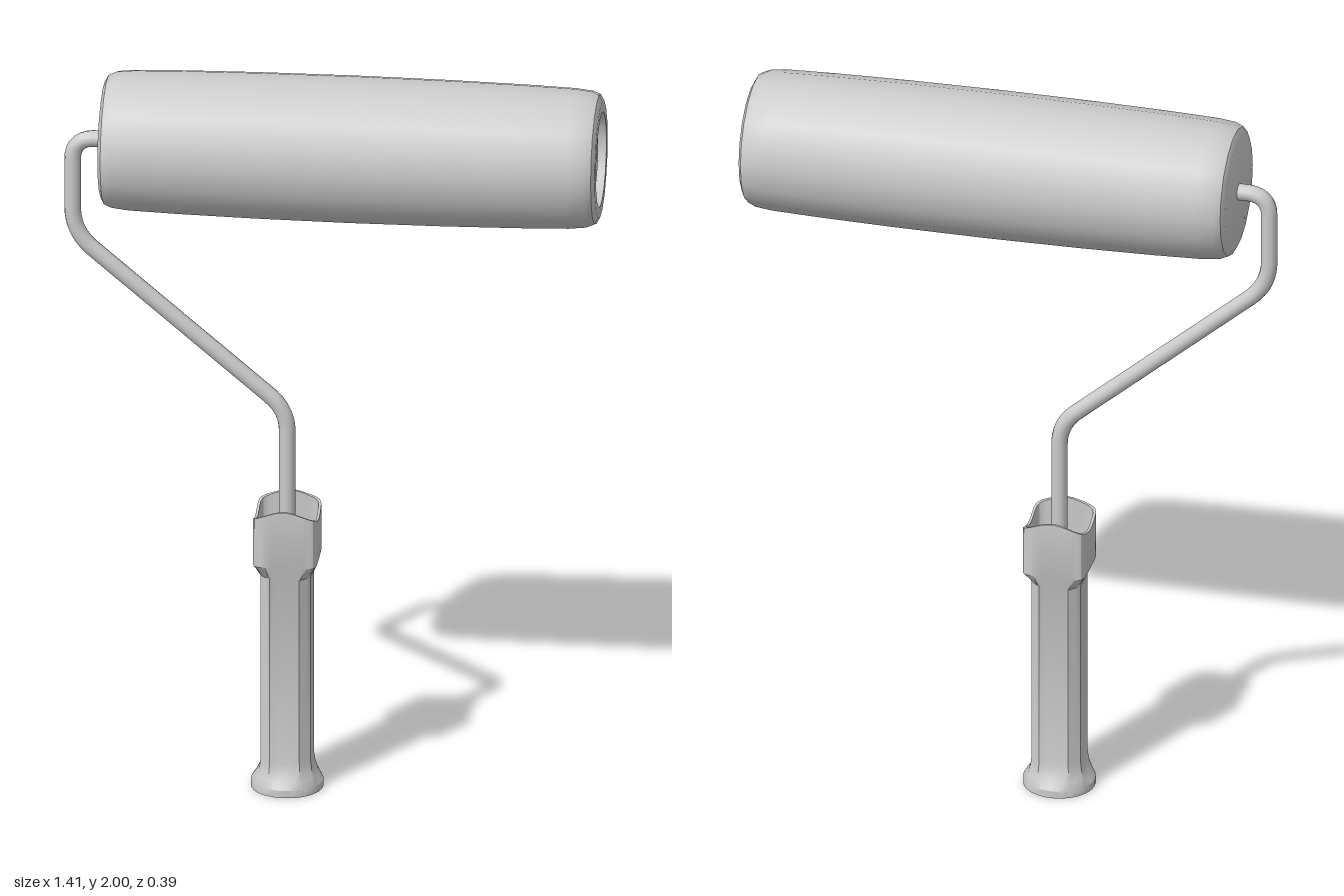
import * as THREE from 'three';
import { toCreasedNormals } from 'three/addons/utils/BufferGeometryUtils.js';

const material = new THREE.MeshStandardMaterial({ color: 0xcccccc });
const HANDLE_X = -0.122;
const ROLLER_Y = 1.805;

function part(name, geometry) {
  const mesh = new THREE.Mesh(geometry, material);
  mesh.name = name;
  return mesh;
}

// Cross-sections as radius by angle
const circle = (r) => () => r;
const roundedSquare = (h) => (a) =>
  h / Math.pow(Math.abs(Math.cos(a)) ** 8 + Math.abs(Math.sin(a)) ** 8, 1 / 8);
const chamferedSquare = (h, c) => (a) => {
  const x = Math.abs(Math.cos(a)), z = Math.abs(Math.sin(a));
  return Math.min(h / Math.max(x, z), (h + c) / (x + z));
};
const mix = (f, g, t) => (a) => f(a) * (1 - t) + g(a) * t;

// Skin a stack of sections; each height may vary with the angle
function loft(sections, angles) {
  const n = angles.length, positions = [], index = [];
  sections.forEach(([radius, height]) => angles.forEach((a) => {
    const r = radius(a);
    const y = typeof height === 'function' ? height(a) : height;
    positions.push(r * Math.cos(a), y, r * Math.sin(a));
  }));
  for (let i = 0; i < sections.length - 1; i++) {
    for (let j = 0; j < n; j++) {
      const a = i * n + j, b = i * n + (j + 1) % n;
      index.push(a, a + n, b, b, a + n, b + n);
    }
  }
  const geometry = new THREE.BufferGeometry();
  geometry.setAttribute('position', new THREE.Float32BufferAttribute(positions, 3));
  geometry.setIndex(index);
  return toCreasedNormals(geometry, 0.5);
}

// Handle: round flared foot, chamfered grip, hollow collar with a saddle-shaped rim
function makeHandle() {
  const chamfer = THREE.MathUtils.radToDeg(Math.atan2(0.039, 0.066));
  const angles = [];
  for (let q = 0; q < 4; q++) {
    for (const d of [0, 11, 21, chamfer, 36, 40.5, 45, 49.5, 54, 90 - chamfer, 69, 79]) {
      angles.push(THREE.MathUtils.degToRad(q * 90 + d));
    }
  }
  const grip = chamferedSquare(0.066, 0.039);
  const foot = circle(0.095);
  const rim = (a) => 0.78 - 0.022 * Math.cos(2 * a);
  const handle = part('handle', loft([
    [circle(0), 0.3], [circle(0.042), 0.3], [circle(0.042), 0],
    [foot, 0], [foot, 0.02],
    [mix(foot, grip, 0.45), 0.04], [mix(foot, grip, 0.8), 0.06], [grip, 0.085],
    [grip, 0.605], [roundedSquare(0.084), 0.645],
    [roundedSquare(0.084), rim], [roundedSquare(0.077), rim],
    [roundedSquare(0.077), 0.66], [circle(0.05), 0.62], [circle(0), 0.62],
  ], angles));
  handle.position.x = HANDLE_X;
  return handle;
}

// Bent wire frame: straight runs joined by rounded corners
function makeFrame() {
  const corners = [
    [HANDLE_X, 0.6, 0], [HANDLE_X, 1.06, 0.06], [-0.687, 1.54, 0.07],
    [-0.687, ROLLER_Y, 0.06], [-0.57, ROLLER_Y, 0],
  ].map(([x, y, bend]) => ({ p: new THREE.Vector3(x, y, 0), bend }));
  const path = new THREE.CurvePath();
  let from = corners[0].p;
  for (let i = 1; i < corners.length - 1; i++) {
    const { p, bend } = corners[i];
    const toward = (q) => q.clone().sub(p).setLength(bend).add(p);
    const start = toward(corners[i - 1].p), end = toward(corners[i + 1].p);
    path.add(new THREE.LineCurve3(from, start));
    path.add(new THREE.QuadraticBezierCurve3(start, p, end));
    from = end;
  }
  path.add(new THREE.LineCurve3(from, corners[corners.length - 1].p));
  return part('wireFrame', new THREE.TubeGeometry(path, 120, 0.022, 12));
}

// Roller sleeve: slightly barrelled, rounded ends, end plug set into the outer end
function makeRoller() {
  const middle = 0.05;
  const half = [[0.195, 0], [0.1935, 0.25], [0.19, 0.45], [0.186, 0.58],
    [0.181, 0.625], [0.172, 0.646], [0.155, 0.655]];
  const profile = [
    [0, middle - 0.655],
    ...half.slice(1).reverse().map(([r, d]) => [r, middle - d]),
    ...half.map(([r, d]) => [r, middle + d]),
    [0.126, 0.705], [0.122, 0.66], [0.11, 0.66], [0.11, 0.685], [0, 0.685],
  ].map(([r, x]) => new THREE.Vector2(r, x));
  const geometry = toCreasedNormals(new THREE.LatheGeometry(profile, 18), 0.65);
  geometry.rotateZ(-Math.PI / 2);
  const roller = part('rollerSleeve', geometry);
  roller.position.y = ROLLER_Y;
  return roller;
}

export function createModel() {
  const group = new THREE.Group();
  group.name = 'paintRoller';
  group.add(makeHandle(), makeFrame(), makeRoller());
  return group;
}
